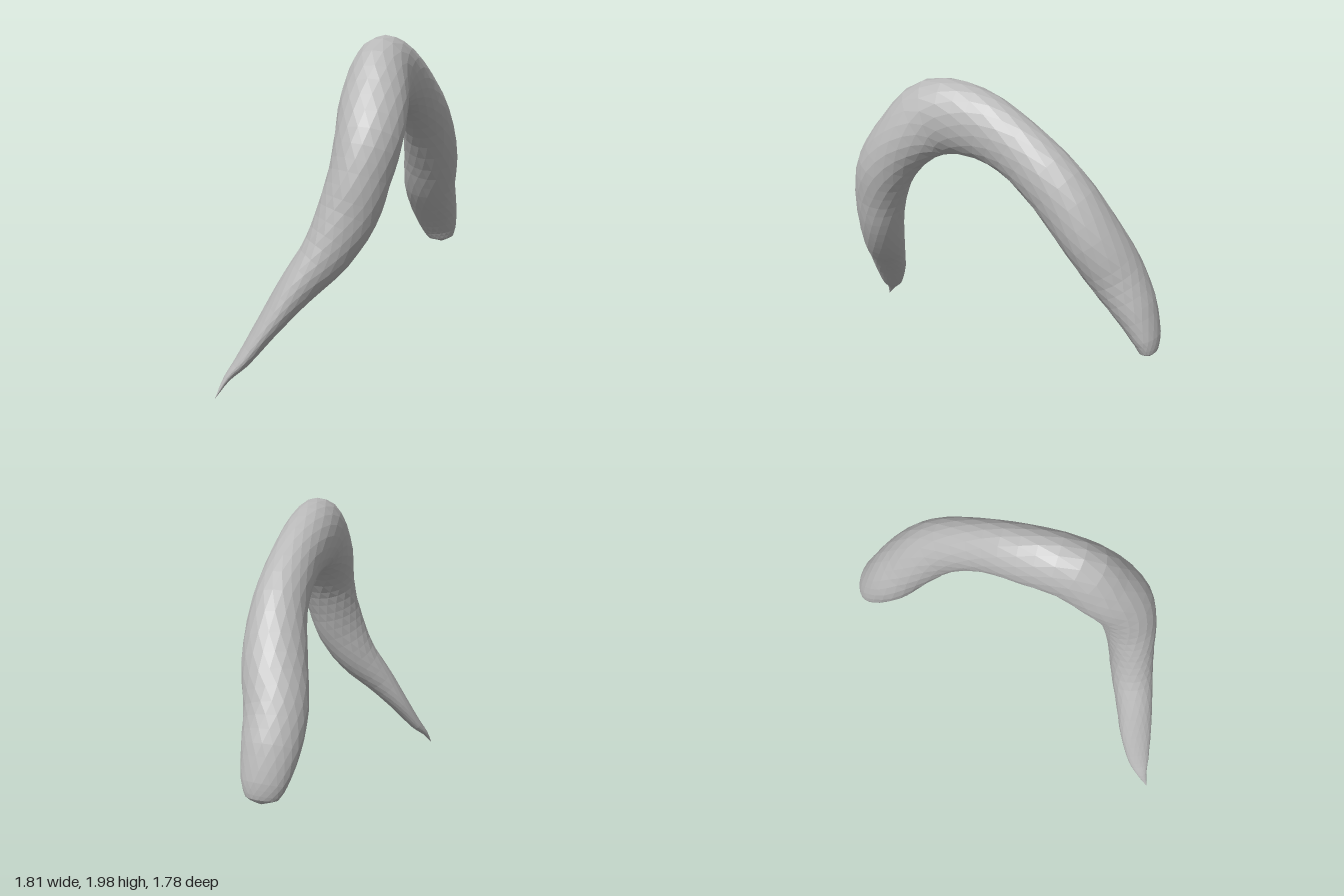
import * as THREE from 'three';

// Stations along the body: centre x, y, z, half width across, half depth, heading of the width axis
const STATIONS = [
  [-0.91, 0.005, 0.77, 0, 0, 0],
  [-0.84, 0.11, 0.742, 0.019, 0.032, 0],
  [-0.755, 0.2, 0.73, 0.04, 0.07, 0],
  [-0.605, 0.4, 0.725, 0.068, 0.105, 0],
  [-0.45, 0.6, 0.73, 0.105, 0.12, 0.02],
  [-0.28, 0.8, 0.735, 0.143, 0.135, 0.05],
  [-0.17, 1.0, 0.735, 0.17, 0.145, 0.1],
  [-0.1, 1.2, 0.72, 0.175, 0.163, 0.2],
  [-0.04, 1.4, 0.67, 0.19, 0.18, 0.35],
  [0.02, 1.6, 0.535, 0.195, 0.195, 0.48],
  [0.1, 1.745, 0.36, 0.17, 0.228, 0.55],
  [0.23, 1.75, 0.14, 0.16, 0.208, 0.58],
  [0.39, 1.655, -0.08, 0.147, 0.178, 0.58],
  [0.54, 1.46, -0.3, 0.16, 0.18, 0.55],
  [0.625, 1.2, -0.49, 0.185, 0.175, 0.45],
  [0.66, 0.98, -0.635, 0.18, 0.165, 0.4],
  [0.72, 0.8, -0.74, 0.165, 0.13, 0.4],
  [0.78, 0.63, -0.808, 0.128, 0.083, 0.4],
  [0.8, 0.55, -0.822, 0.09, 0.055, 0.4],
  [0.805, 0.515, -0.825, 0, 0, 0.4],
];
const SIDES = 18;
const RINGS = (STATIONS.length - 1) * 3;

// Elliptical rings swept along a smooth centre line
function sweptBody() {
  const centre = new THREE.CatmullRomCurve3(STATIONS.map(s => new THREE.Vector3(s[0], s[1], s[2])));
  const shape = new THREE.CatmullRomCurve3(STATIONS.map(s => new THREE.Vector3(s[3], s[4], s[5])));
  const positions = [];
  const index = [];
  for (let i = 0; i <= RINGS; i++) {
    const t = i / RINGS;
    const c = centre.getPoint(t);
    const tangent = centre.getTangent(t);
    const { x: across, y: depth, z: heading } = shape.getPoint(t);
    const side = new THREE.Vector3(Math.cos(heading), 0, Math.sin(heading));
    side.addScaledVector(tangent, -side.dot(tangent)).normalize();
    const out = new THREE.Vector3().crossVectors(tangent, side);
    for (let j = 0; j < SIDES; j++) {
      // Every other ring is turned half a step for an even triangle pattern
      const angle = ((j + (i % 2) / 2) / SIDES) * Math.PI * 2;
      const p = c.clone()
        .addScaledVector(side, Math.cos(angle) * Math.max(across, 0))
        .addScaledVector(out, Math.sin(angle) * Math.max(depth, 0));
      positions.push(p.x, p.y, p.z);
    }
  }
  for (let i = 0; i < RINGS; i++) {
    for (let j = 0; j < SIDES; j++) {
      const k = (j + 1) % SIDES;
      const a = i * SIDES + j, b = i * SIDES + k;
      const d = a + SIDES, e = b + SIDES;
      if (i % 2) index.push(a, e, d, a, b, e);
      else index.push(a, b, d, b, e, d);
    }
  }
  const geometry = new THREE.BufferGeometry();
  geometry.setAttribute('position', new THREE.Float32BufferAttribute(positions, 3));
  geometry.setIndex(index);
  geometry.computeVertexNormals();
  return geometry;
}

export function createModel() {
  const grey = new THREE.MeshStandardMaterial({ color: 0xb8b8b8, flatShading: true });
  grey.name = 'plain grey';
  const body = new THREE.Mesh(sweptBody(), grey);
  body.name = 'curvedTaperedBody';
  const model = new THREE.Group();
  model.name = 'archedTail';
  model.add(body);
  return model;
}
